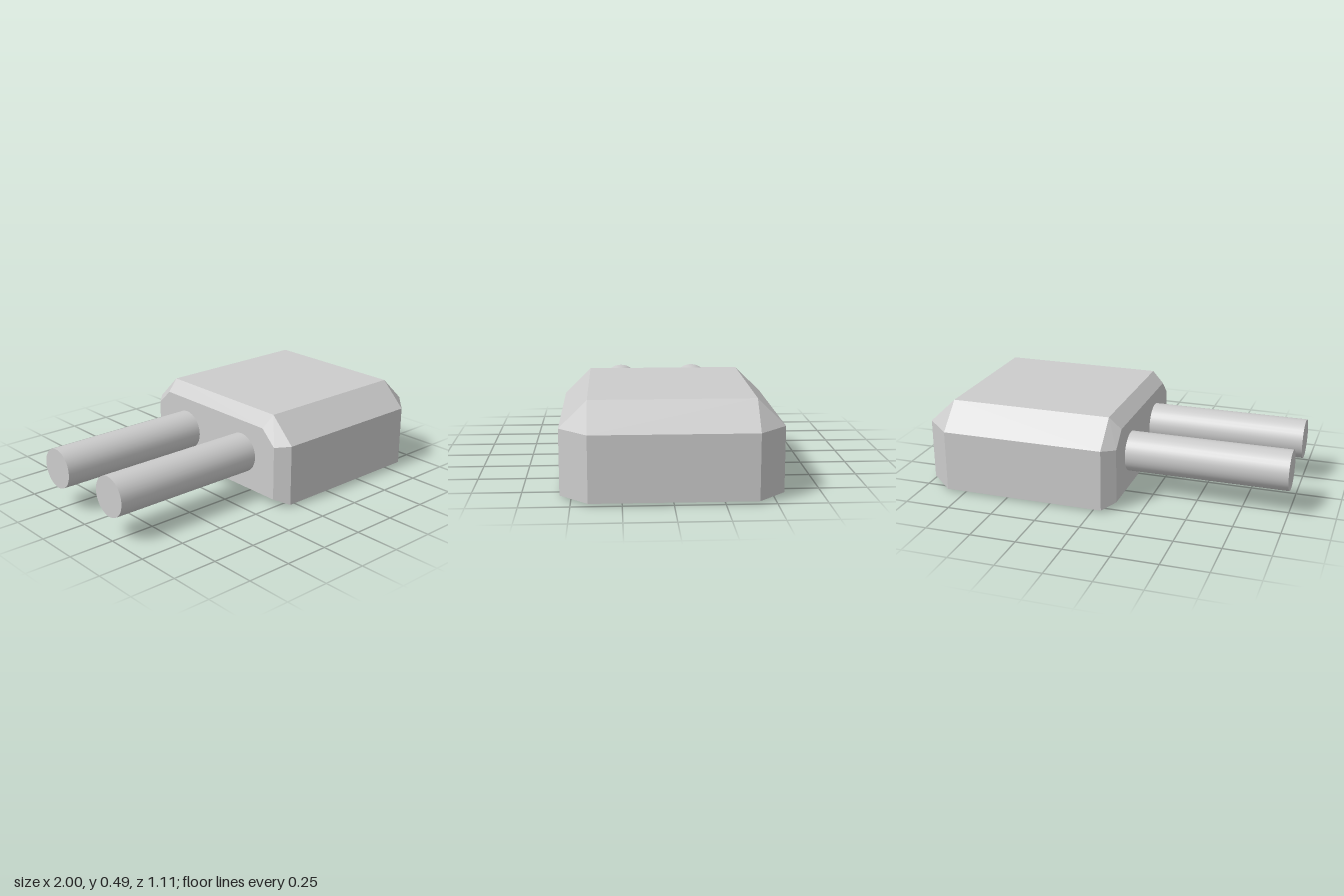
import * as THREE from 'three';
import { ConvexGeometry } from 'three/addons/geometries/ConvexGeometry.js';

export function createModel() {
  const group = new THREE.Group();
  const material = new THREE.MeshStandardMaterial({ color: 0xcccccc });
  const add = (name, geometry) => {
    const mesh = new THREE.Mesh(geometry, material);
    mesh.name = name;
    group.add(mesh);
    return mesh;
  };

  // Chamfered housing: corners of each flat face, mirrored in z
  const corners = [
    [-0.05, 0.49, 0.415], [0.85, 0.49, 0.415], // top
    [-0.05, 0.35, 0.557], [0.85, 0.35, 0.557], // side, upper edge
    [-0.05, 0.012, 0.557], [0.85, 0.012, 0.557], // side, lower edge
    [1, 0.35, 0.415], [1, 0.014, 0.415], // wide end
    [-0.115, 0.425, 0.4], [-0.115, 0.34, 0.49], [-0.115, 0.04, 0.49], // pin end
    [-0.05, 0, 0.415], [0.85, 0, 0.415], // underside
  ];
  const points = [];
  for (const [x, y, z] of corners)
    for (const side of [1, -1]) points.push(new THREE.Vector3(x, y, z * side));
  add('housing', new ConvexGeometry(points));

  // Two round pins along x
  const pinGeometry = new THREE.CylinderGeometry(0.11, 0.11, 0.9, 32).rotateZ(Math.PI / 2);
  for (const side of [1, -1])
    add(side > 0 ? 'frontPin' : 'backPin', pinGeometry).position.set(-0.55, 0.239, 0.234 * side);

  return group;
}
